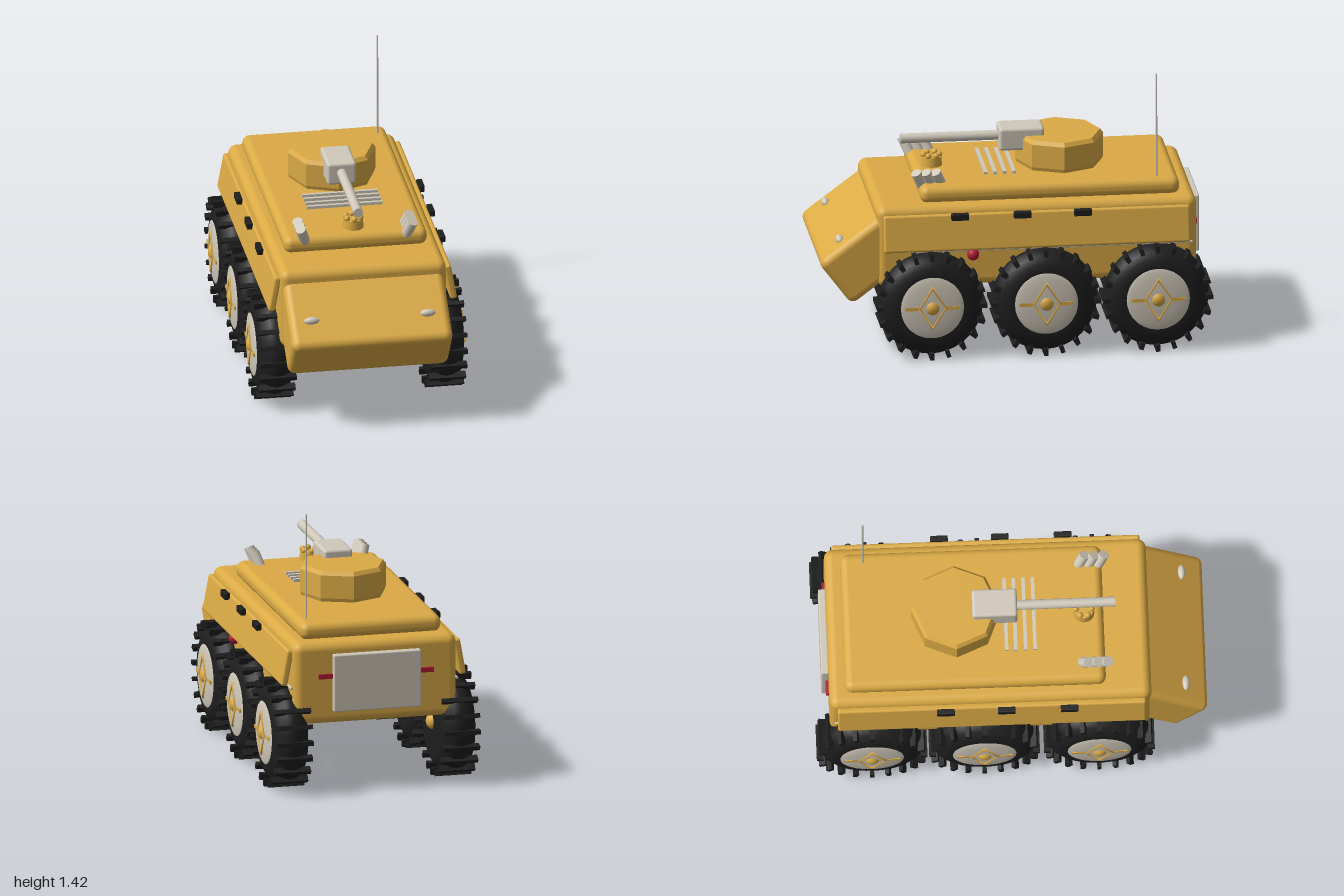
import * as THREE from 'three';
import { RoundedBoxGeometry } from 'three/addons/geometries/RoundedBoxGeometry.js';

const paint = (name, color, extra = {}) => {
  const m = new THREE.MeshStandardMaterial({ color, ...extra });
  m.name = name;
  return m;
};

export function createModel() {
  const model = new THREE.Group();
  model.name = 'armouredCar';
  const sand = paint('sandPaint', 0xdbaa45);
  const sandFacet = paint('sandPaintFaceted', 0xdbaa45, { flatShading: true });
  const metal = paint('paleMetal', 0xd0c9ba);
  const rubber = paint('blackRubber', 0x1e1e1e);
  const red = paint('redLamp', 0xb01c34);

  const add = (name, geo, mat, x = 0, y = 0, z = 0, parent = model) => {
    const m = new THREE.Mesh(geo, mat);
    m.name = name;
    m.position.set(x, y, z);
    parent.add(m);
    return m;
  };
  const rbox = (w, h, d, r) => new RoundedBoxGeometry(w, h, d, 4, r);

  // Hull, raised deck and wedge nose
  add('hull', rbox(0.86, 0.43, 1.64, 0.045), sand, 0, 0.575, -0.11);
  add('deck', rbox(0.74, 0.09, 1.33, 0.04), sand, 0, 0.827, -0.185);
  add('nose', rbox(0.83, 0.29, 0.42, 0.04), sand, 0, 0.51, 0.755).rotation.x = 0.6435;

  // Octagonal turret with a softened rim
  const turretProfile = [[0, 0.86], [0.215, 0.86], [0.226, 0.89], [0.226, 1.01], [0.21, 1.03], [0, 1.032]];
  add('turret', new THREE.LatheGeometry(turretProfile.map(p => new THREE.Vector2(...p)), 8), sandFacet, 0, 0, -0.275);
  add('gunMantlet', rbox(0.15, 0.118, 0.23, 0.015), metal, 0, 1.012, -0.075);
  add('gunBarrel', new THREE.CylinderGeometry(0.025, 0.025, 0.56, 20), metal, 0, 1.018, 0.26).rotation.x = Math.PI / 2;

  // Engine grille bars
  for (const z of [-0.02, 0.027, 0.077, 0.125])
    add('grilleBar', new THREE.BoxGeometry(0.39, 0.02, 0.018), metal, 0, 0.877, z);

  // Sensor knob ringed with small beads
  add('sensorBase', new THREE.CylinderGeometry(0.05, 0.055, 0.055, 20), sand, 0, 0.892, 0.38);
  for (let i = 0; i < 6; i++) {
    const a = i * Math.PI / 3;
    add('sensorBead', new THREE.SphereGeometry(0.016, 12, 8), sand, 0.04 * Math.sin(a), 0.928, 0.38 + 0.04 * Math.cos(a));
  }

  // Whip antenna
  add('antenna', new THREE.CylinderGeometry(0.004, 0.005, 0.56, 8), metal, 0.315, 1.14, -0.735);

  // Rear door and tail lamps
  add('rearDoor', rbox(0.46, 0.3, 0.04, 0.008), metal, 0, 0.58, -0.946);
  for (const s of [-1, 1])
    add('tailLamp', new THREE.BoxGeometry(0.075, 0.024, 0.02), red, s * 0.265, 0.615, -0.935);

  // Mirrored side fittings
  for (const s of [-1, 1]) {
    add('sidePanel', rbox(0.036, 0.19, 1.57, 0.012), sand, s * 0.454, 0.658, -0.105).rotation.z = s * 0.18;
    for (const z of [0.29, -0.03, -0.34])
      add('panelLatch', rbox(0.03, 0.035, 0.09, 0.005), rubber, s * 0.47, 0.744, z);
    add('sideRail', new THREE.CylinderGeometry(0.007, 0.007, 1.45, 8), metal, s * 0.435, 0.553, -0.18).rotation.x = Math.PI / 2;
    add('sideLamp', new THREE.SphereGeometry(0.031, 16, 12), red, s * 0.44, 0.53, 0.22);

    // Headlight domes lying on the sloped nose
    const lamp = add('headlight', new THREE.SphereGeometry(0.04, 20, 12), metal, s * 0.3, 0.593, 0.888);
    lamp.scale.set(1, 0.55, 0.5);
    lamp.rotation.x = 0.6435;

    // Three smoke launchers leaning out and forward
    const lean = new THREE.Vector3(s * 0.35, 1, 0.45).normalize();
    for (const z of [0.375, 0.425, 0.475])
      add('smokeLauncher', new THREE.CylinderGeometry(0.027, 0.027, 0.1, 16), metal, s * 0.275, 0.885, z)
        .quaternion.setFromUnitVectors(new THREE.Vector3(0, 1, 0), lean);
  }

  // Wheel facing +x: rounded tyre, cross-bar tread, pale hub and diamond trim
  const tyreProfile = [[0, -0.09], [0.17, -0.094], [0.21, -0.085], [0.245, -0.062], [0.265, -0.03], [0.27, 0],
    [0.265, 0.03], [0.245, 0.062], [0.21, 0.085], [0.17, 0.094], [0, 0.09]];
  const tyreGeo = new THREE.LatheGeometry(tyreProfile.map(p => new THREE.Vector2(...p)), 40).rotateZ(-Math.PI / 2);
  const cleatGeo = new THREE.BoxGeometry(0.19, 0.035, 0.022).translate(0, 0.2645, 0);
  const hubGeo = new THREE.SphereGeometry(0.17, 32, 16).scale(0.12, 1, 1);
  const diamondGeo = new THREE.TorusGeometry(0.108, 0.011, 8, 4).rotateY(Math.PI / 2).scale(1, 1, 0.62);
  const makeWheel = () => {
    const wheel = new THREE.Group();
    wheel.name = 'wheel';
    add('tyre', tyreGeo, rubber, 0, 0, 0, wheel);
    for (let i = 0; i < 20; i++)
      add('treadBar', cleatGeo, rubber, 0, 0, 0, wheel).rotation.x = i * Math.PI / 10;
    add('hub', hubGeo, metal, 0.088, 0, 0, wheel);
    add('hubDiamond', diamondGeo, sand, 0.103, 0, 0, wheel);
    add('hubBar', new THREE.BoxGeometry(0.014, 0.018, 0.28), sand, 0.1, 0, 0, wheel);
    add('hubCap', new THREE.SphereGeometry(0.048, 20, 14), sand, 0.075, 0, 0, wheel);
    add('axleEnd', new THREE.SphereGeometry(0.045, 20, 14), sand, -0.075, 0, 0, wheel);
    return wheel;
  };
  for (const s of [-1, 1])
    for (const z of [0.44, -0.145, -0.718]) {
      const wheel = makeWheel();
      wheel.position.set(s * 0.44, 0.282, z);
      if (s < 0) wheel.rotation.y = Math.PI;
      model.add(wheel);
    }
  return model;
}
